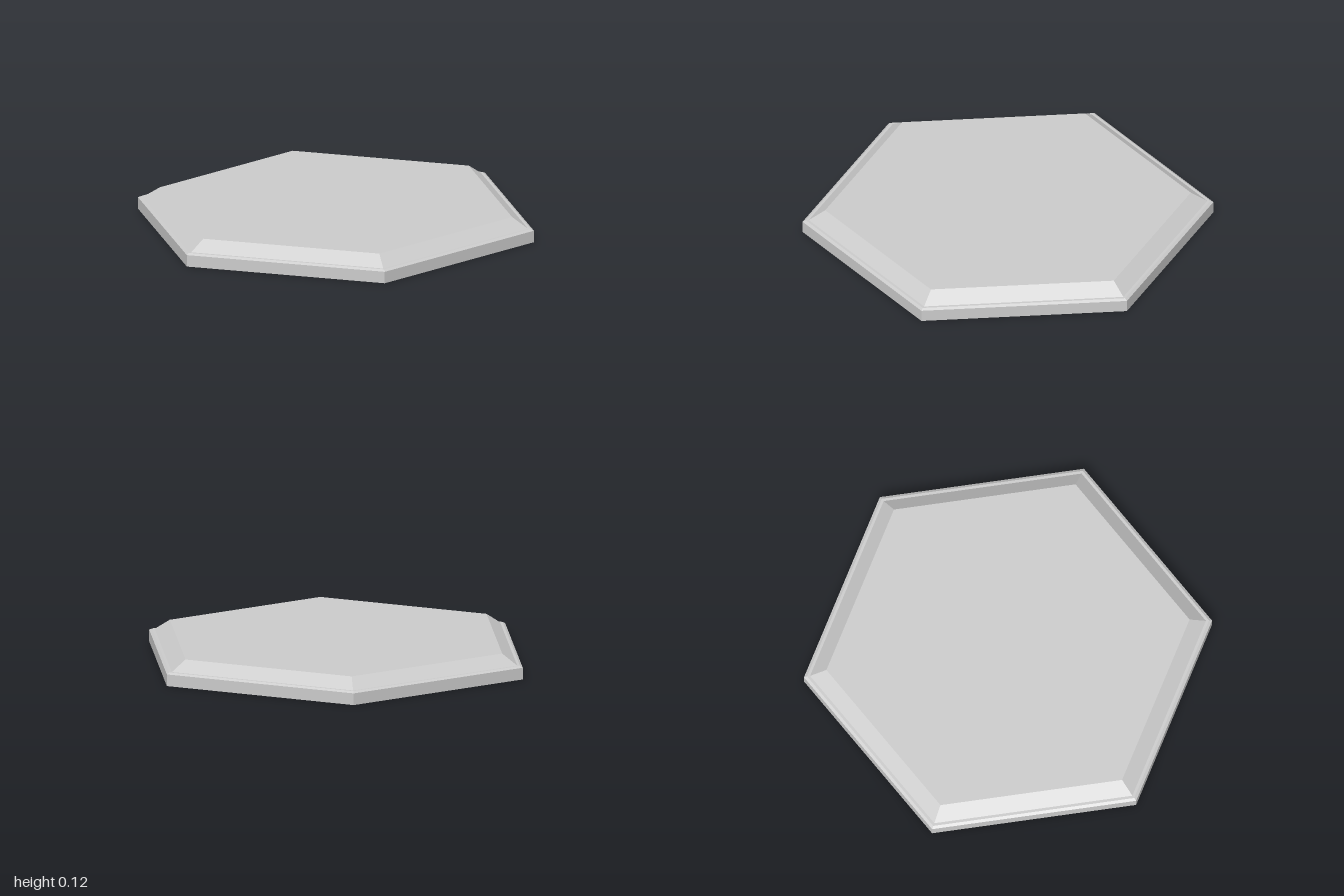
import * as THREE from 'three';

const SIDES = 6;
const RIM = 0.97, RIM_TOP = 0.066;   // inner corner radius and height of the rim
const TOP = 0.89, HEIGHT = 0.118;    // corner radius and height of the top face

// Revolves a [radius, height] profile into a six-sided shell, corners on the z axis.
const hexLathe = (profile) =>
  new THREE.LatheGeometry(profile.map(([r, y]) => new THREE.Vector2(r, y)), SIDES);

export function createModel() {
  const tile = new THREE.Group();
  tile.name = 'hexTile';
  const material = new THREE.MeshStandardMaterial({
    color: 0xcccccc, flatShading: true, side: THREE.DoubleSide,
  });
  const add = (name, geometry) => {
    const mesh = new THREE.Mesh(geometry, material);
    mesh.name = name;
    tile.add(mesh);
  };

  // Upright rim: inner wall, underside, outer wall, chamfer and narrow ledge
  add('rim', hexLathe([
    [RIM, RIM_TOP], [RIM, 0], [1, 0], [1, 0.058], [0.985, RIM_TOP], [RIM, RIM_TOP],
  ]));

  // Sloping bevel from the ledge up to the top, open underneath
  add('bevel', hexLathe([[RIM, RIM_TOP], [TOP, HEIGHT]]));

  // Flat top face
  const top = new THREE.CircleGeometry(TOP, SIDES, Math.PI / 2);
  top.rotateX(-Math.PI / 2);
  top.translate(0, HEIGHT, 0);
  add('topFace', top);

  return tile;
}
